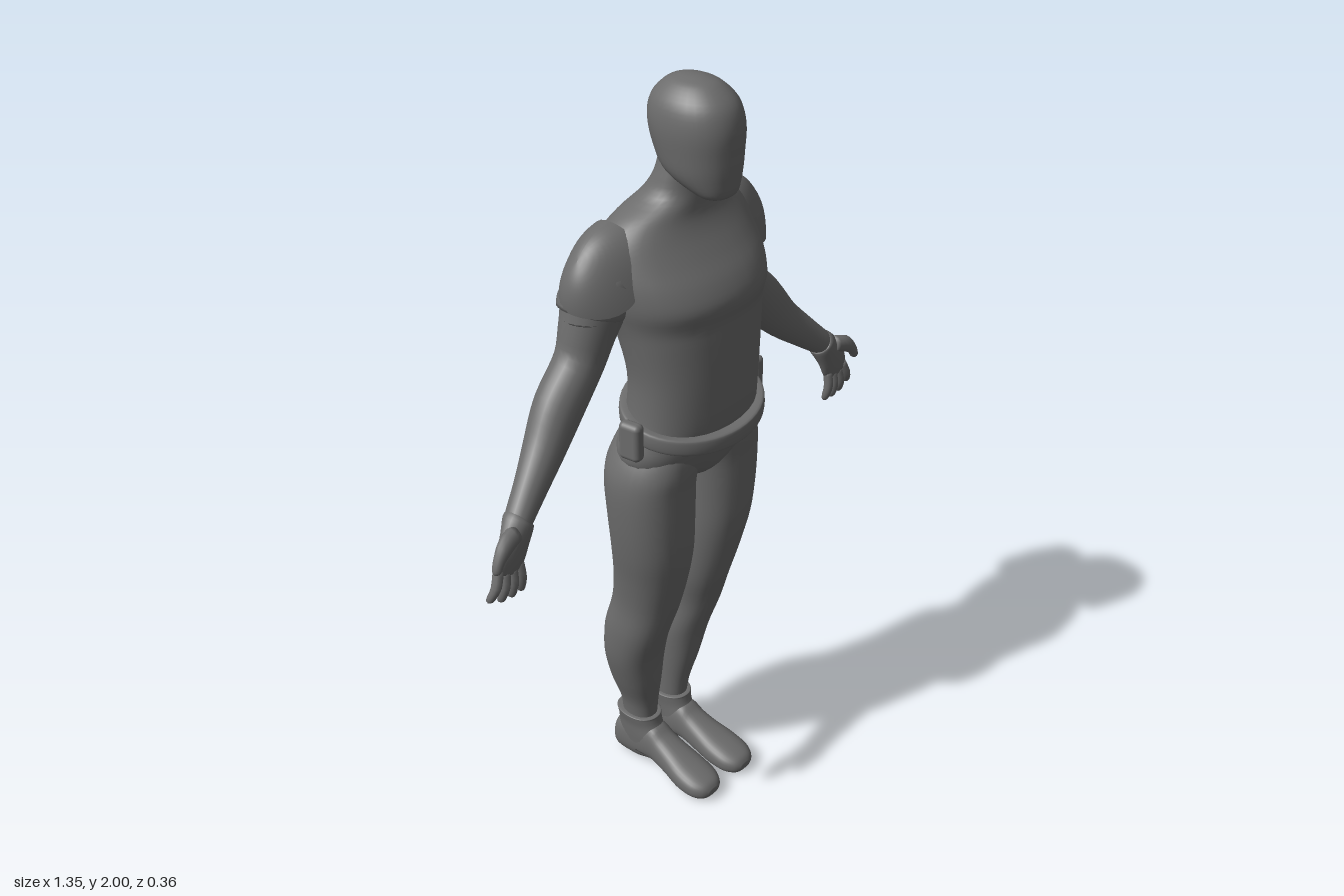
import * as THREE from 'three';
import { RoundedBoxGeometry } from 'three/addons/geometries/RoundedBoxGeometry.js';

const material = new THREE.MeshStandardMaterial({ color: 0x6c6c6c });
const thin = new THREE.MeshStandardMaterial({ color: 0x6c6c6c, side: THREE.DoubleSide });

// Catmull-Rom refinement of a list of number rows
function refine(rows, steps) {
  const out = [];
  const at = i => rows[Math.max(0, Math.min(rows.length - 1, i))];
  for (let i = 0; i < rows.length - 1; i++) {
    for (let k = 0; k < steps; k++) {
      const t = k / steps;
      out.push(rows[i].map((b, n) => {
        const a = at(i - 1)[n], c = at(i + 1)[n], d = at(i + 2)[n];
        return b + 0.5 * t * (c - a + t * (2 * a - 5 * b + 4 * c - d + t * (3 * (b - c) + d - a)));
      }));
    }
  }
  out.push(rows[rows.length - 1]);
  return out;
}

// Skin through closed rings; place(row, sin, cos, change along the rows) gives each point
function loft(rows, place, seg = 32, steps = 4) {
  const fine = refine(rows, steps), pos = [], index = [], last = fine.length - 1;
  fine.forEach((row, i) => {
    const a = fine[Math.max(0, i - 1)], b = fine[Math.min(last, i + 1)];
    const change = row.map((_, n) => b[n] - a[n]);
    for (let j = 0; j < seg; j++) {
      const t = j / seg * Math.PI * 2;
      pos.push(...place(row, Math.sin(t), Math.cos(t), change));
    }
  });
  for (let i = 0; i < last; i++) {
    for (let j = 0; j < seg; j++) {
      const k = (j + 1) % seg, p = i * seg, q = p + seg;
      index.push(p + j, p + k, q + k, p + j, q + k, q + j);
    }
  }
  // end caps
  for (const i of [0, last]) {
    const centre = [0, 0, 0], id = pos.length / 3, p = i * seg;
    for (let j = 0; j < seg; j++) for (let n = 0; n < 3; n++) centre[n] += pos[(p + j) * 3 + n] / seg;
    pos.push(...centre);
    for (let j = 0; j < seg; j++) {
      const k = (j + 1) % seg;
      if (i === 0) index.push(id, p + k, p + j);
      else index.push(id, p + j, p + k);
    }
  }
  const g = new THREE.BufferGeometry();
  g.setAttribute('position', new THREE.Float32BufferAttribute(pos, 3));
  g.setIndex(index);
  g.computeVertexNormals();
  return g;
}

const power = (v, n) => Math.sign(v) * Math.abs(v) ** (2 / n);

// Upright form, rows of [y, xMin, xMax, zFront, zBack]
const upright = (rows, n = 2.2) => loft(rows, ([y, x0, x1, zf, zb], s, c) => [
  (x0 + x1) / 2 + (x1 - x0) / 2 * power(s, n), y, (zf + zb) / 2 + (zf - zb) / 2 * power(c, n)]);
const symmetric = (rows, n) => upright(rows.map(([y, r, f, b]) => [y, -r, r, f, b]), n);

// Limb along a path, rows of [x, y, z, width radius, depth radius]
const limb = (rows, seg = 24, steps = 4) => loft(rows, ([x, y, z, rw, rd], s, c, d) => {
  const l = Math.hypot(d[0], d[1]) || 1;
  return [x - d[1] / l * rw * c, y + d[0] / l * rw * c, z + rd * s];
}, seg, steps);

function add(parent, name, geometry, mat = material) {
  const mesh = new THREE.Mesh(geometry, mat);
  mesh.name = name;
  parent.add(mesh);
  return mesh;
}

// Curved shoulder pad: a shallow squarish dome whose front and back rims wrap down the arm
function shoulderPadGeometry() {
  const g = new THREE.SphereGeometry(1, 40, 14, 0, Math.PI * 2, 0, Math.PI / 2);
  const p = g.attributes.position;
  for (let i = 0; i < p.count; i++) {
    const x = p.getX(i), z = p.getZ(i), r = Math.hypot(x, z);
    const square = r > 0 ? r / (Math.abs(x) ** 2.5 + Math.abs(z) ** 2.5) ** 0.4 : 1;
    const a = x * square, b = z * square;
    const h = 0.047 * (1 - r ** 2.4) - 0.075 * b * b;
    p.setXYZ(i, 0.255 + 0.625 * 0.112 * a + 0.78 * h, 1.603 - 0.78 * 0.112 * a + 0.625 * h, -0.053 + 0.102 * b);
  }
  g.computeVertexNormals();
  return g;
}

function buildSide(side) {
  const g = new THREE.Group();
  g.name = side + 'Side';

  add(g, side + 'Leg', upright([
    [0.08, 0.025, 0.098, -0.06, -0.155], [0.2, 0.022, 0.106, -0.05, -0.157], [0.3, 0.018, 0.14, -0.03, -0.172],
    [0.4, 0.017, 0.168, -0.012, -0.173], [0.5, 0.03, 0.178, 0.02, -0.16], [0.6, 0.021, 0.177, 0.052, -0.133],
    [0.7, 0.017, 0.19, 0.08, -0.118], [0.8, 0.014, 0.209, 0.1, -0.11], [0.9, 0.013, 0.222, 0.106, -0.11],
    [1.0, 0.01, 0.227, 0.108, -0.115], [1.06, 0.004, 0.215, 0.113, -0.114], [1.12, 0.02, 0.182, 0.105, -0.095],
    [1.17, 0.05, 0.15, 0.07, -0.06]]));

  // Boot: ankle cuff, then foot from heel to toe [z, xMin, xMax, yMin, yMax]
  add(g, side + 'BootCuff', upright([
    [0.04, 0.02, 0.1, 0.0, -0.174], [0.09, 0.018, 0.104, -0.01, -0.174], [0.13, 0.016, 0.106, -0.034, -0.172],
    [0.158, 0.013, 0.111, -0.042, -0.174], [0.165, 0.014, 0.11, -0.043, -0.173], [0.166, 0.03, 0.09, -0.06, -0.15]]));
  add(g, side + 'Foot', loft([
    [-0.178, 0.04, 0.085, 0.025, 0.08], [-0.165, 0.025, 0.1, 0.003, 0.115], [-0.1, 0.018, 0.102, 0, 0.135],
    [-0.045, 0.018, 0.104, 0.018, 0.139], [-0.01, 0.017, 0.107, 0.017, 0.117], [0.03, 0.014, 0.113, 0.01, 0.099],
    [0.08, 0.01, 0.123, 0.002, 0.081], [0.13, 0.014, 0.122, 0, 0.065], [0.16, 0.03, 0.106, 0.006, 0.052],
    [0.172, 0.05, 0.085, 0.02, 0.036]],
  ([z, x0, x1, y0, y1], s, c) => [
    (x0 + x1) / 2 - (x1 - x0) / 2 * power(s, 2.4), (y0 + y1) / 2 + (y1 - y0) / 2 * power(c, 2.4), z]));

  add(g, side + 'Arm', limb([
    [0.13, 1.59, -0.05, 0.075, 0.085], [0.215, 1.555, -0.053, 0.084, 0.09], [0.254, 1.46, -0.06, 0.071, 0.07],
    [0.286, 1.375, -0.065, 0.061, 0.06], [0.362, 1.289, -0.06, 0.065, 0.057], [0.43, 1.212, -0.045, 0.053, 0.05],
    [0.5, 1.15, -0.022, 0.042, 0.04], [0.56, 1.098, -0.003, 0.033, 0.034], [0.575, 1.075, 0.003, 0.028, 0.026]]));

  // Hand with palm forward and thumb outward
  const hand = new THREE.Group();
  hand.name = side + 'Hand';
  g.add(hand);
  add(hand, 'palm', limb([
    [0.552, 1.107, -0.003, 0.03, 0.03], [0.558, 1.1, -0.002, 0.038, 0.037], [0.584, 1.06, 0.008, 0.043, 0.026],
    [0.605, 1.02, 0.01, 0.046, 0.019], [0.615, 0.993, 0.01, 0.037, 0.013]]));
  const fingers = [
    [0.578, 1.01, 0.576, 0.92], [0.598, 1.003, 0.605, 0.918], [0.619, 1.003, 0.637, 0.922], [0.638, 1.013, 0.67, 0.938]];
  fingers.forEach(([x0, y0, x1, y1], i) => add(hand, 'finger' + (i + 1), limb([
    [x0, y0, 0.01, 0.013, 0.013], [(x0 + x1) / 2, (y0 + y1) / 2, 0.017, 0.0125, 0.013],
    [x1 - 0.002, y1 + 0.008, 0.01, 0.01, 0.01], [x1, y1, 0.008, 0.003, 0.003]], 10, 3)));
  add(hand, 'thumb', limb([
    [0.585, 1.09, 0.015, 0.022, 0.022], [0.625, 1.08, 0.026, 0.023, 0.019], [0.652, 1.057, 0.032, 0.015, 0.014],
    [0.664, 1.034, 0.034, 0.011, 0.011], [0.667, 1.026, 0.034, 0.003, 0.003]], 12, 3));

  add(g, side + 'ShoulderPad', shoulderPadGeometry(), thin);

  // Strap that holds the pad around the upper arm
  add(g, side + 'ArmStrap', limb([
    [0.24, 1.523, -0.055, 0.07, 0.07], [0.241, 1.521, -0.055, 0.082, 0.083],
    [0.25, 1.492, -0.058, 0.079, 0.08], [0.251, 1.49, -0.058, 0.066, 0.066]], 28, 3));

  const pouch = add(g, side + 'BeltPouch', new RoundedBoxGeometry(0.034, 0.1, 0.06, 3, 0.014));
  pouch.position.set(0.222, 1.17, 0.034);
  pouch.rotation.y = -0.12;
  return g;
}

export function createModel() {
  const model = new THREE.Group();
  model.name = 'figure';

  // Torso from crotch to neck, rows of [y, half width, zFront, zBack]
  add(model, 'torso', symmetric([
    [0.985, 0.025, 0.06, -0.05], [1.02, 0.1, 0.1, -0.092], [1.06, 0.19, 0.119, -0.112], [1.1, 0.207, 0.134, -0.115],
    [1.15, 0.194, 0.149, -0.109], [1.2, 0.184, 0.158, -0.1], [1.3, 0.183, 0.163, -0.095], [1.4, 0.197, 0.162, -0.12],
    [1.45, 0.207, 0.161, -0.142], [1.5, 0.22, 0.168, -0.156], [1.55, 0.226, 0.148, -0.161], [1.6, 0.224, 0.113, -0.156],
    [1.65, 0.21, 0.08, -0.142], [1.69, 0.168, 0.063, -0.115], [1.73, 0.095, 0.061, -0.084], [1.78, 0.073, 0.058, -0.056],
    [1.84, 0.058, 0.058, -0.045]], 2.15));

  add(model, 'head', symmetric([
    [1.738, 0.03, 0.13, 0.085], [1.75, 0.055, 0.143, 0.055], [1.79, 0.08, 0.15, -0.03], [1.84, 0.089, 0.154, -0.062],
    [1.9, 0.093, 0.156, -0.079], [1.95, 0.083, 0.14, -0.07], [1.985, 0.053, 0.1, -0.037], [1.997, 0.025, 0.065, -0.005],
    [2.0, 0.006, 0.04, 0.02]], 2.1));

  // Belt tilted down at the front, rows of [height, growth]
  add(model, 'belt', loft([[-0.02, -0.03], [-0.021, 0.004], [-0.012, 0.011], [0.012, 0.011], [0.021, 0.004], [0.02, -0.03]],
    ([h, grow], s, c) => [(0.195 + grow) * s, 1.175 + h - 0.033 * c, 0.031 + (0.139 + grow) * c], 48, 3));

  const right = buildSide('right');
  right.scale.x = -1;
  model.add(buildSide('left'), right);
  return model;
}
